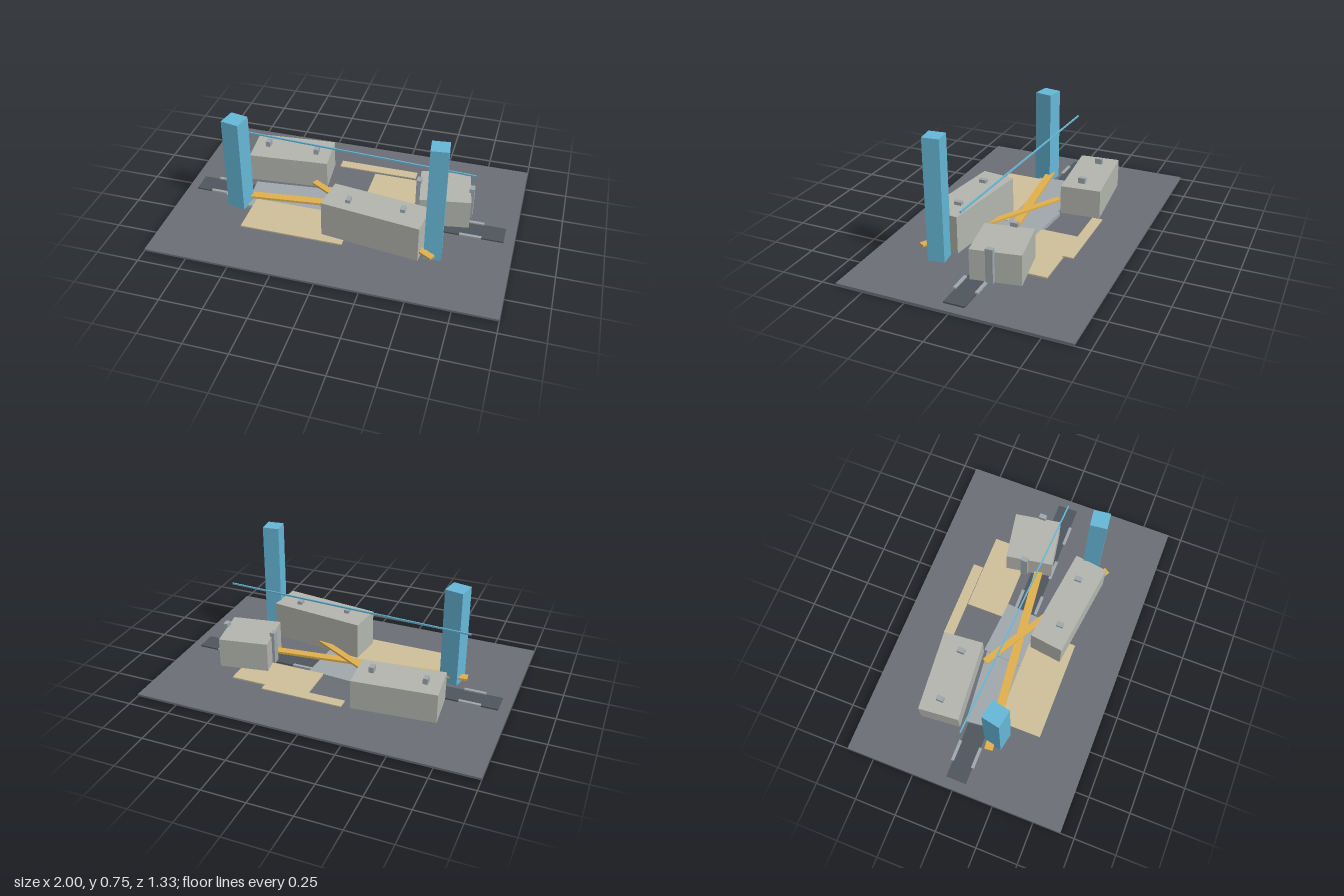
import * as THREE from 'three';

const mat = (color) => new THREE.MeshStandardMaterial({ color });

export function createModel() {
  const model = new THREE.Group();
  const ground = mat(0x6b6f76), lane = mat(0x4f565e), steel = mat(0xa0a8ad);
  const crate = mat(0xb3b5ae), tan = mat(0xcfc09a), amber = mat(0xe0b04f), blue = mat(0x66b8d8);

  // Box centred at (x, z), spanning y0..y1, turned about y by deg
  function block(name, material, x, z, w, d, y0, y1, deg = 0) {
    const mesh = new THREE.Mesh(new THREE.BoxGeometry(w, y1 - y0, d), material);
    mesh.name = name;
    mesh.position.set(x, (y0 + y1) / 2, z);
    mesh.rotation.y = THREE.MathUtils.degToRad(deg);
    model.add(mesh);
    return mesh;
  }

  // Ground and central lane
  block('ground', ground, 0, 0, 2, 1.333, 0, 0.013);
  block('lane', lane, 0, 0, 1.88, 0.122, 0.012, 0.022);

  // Dashes along both lane edges
  for (let i = -3; i <= 3; i++) {
    for (const side of [-1, 1]) {
      block('laneDash', steel, -0.015 + i * 0.255, side * 0.063, 0.127, 0.018, 0.02, 0.03);
    }
  }

  // Flat slabs in the middle
  block('leftSlab', steel, -0.36, 0.02, 0.46, 0.24, 0.022, 0.04, 6);
  block('rightSlab', steel, 0.0, 0.012, 0.33, 0.28, 0.022, 0.046, -4.5);

  // Thin boards
  block('frontBoard', tan, -0.233, 0.232, 0.605, 0.264, 0.042, 0.05);
  block('backBoard', tan, 0.322, -0.232, 0.475, 0.232, 0.037, 0.046);
  block('rearStrip', tan, 0.098, -0.38, 0.485, 0.062, 0.053, 0.059);

  // Crates, each with a pair of square posts
  const crates = [
    ['back', -0.417, -0.237, 0.483, 0.24, 0.038, 0.214, 5, 0.248],
    ['front', 0.235, 0.25, 0.577, 0.2, 0.053, 0.275, -7.4, 0.295],
    ['side', 0.565, -0.098, 0.292, 0.283, 0.045, 0.224, 9.7, 0.248],
  ];
  for (const [name, x, z, w, d, y0, y1, deg, postTop] of crates) {
    block(name + 'Crate', crate, x, z, w, d, y0, y1, deg);
    for (const side of [-1, 1]) {
      block(name + 'CratePost', steel, x + side * 0.155, z, 0.028, 0.043, y0 + 0.004, postTop);
    }
  }

  // Fallen beams
  block('longBeam', amber, -0.139, 0.05, 1.165, 0.05, 0.064, 0.078, 6.3);
  block('crossBeam', amber, 0.177, 0.14, 0.957, 0.04, 0.086, 0.098, -30.5);

  // Towers and the bar between them
  block('shortTower', blue, -0.623, 0.134, 0.109, 0.109, 0.03, 0.62, -11);
  block('tallTower', blue, 0.575, 0.28, 0.098, 0.098, 0.03, 0.752, 6.5);
  block('overheadBar', blue, -0.001, 0.011, 1.5, 0.008, 0.432, 0.441, -2.86);

  return model;
}
